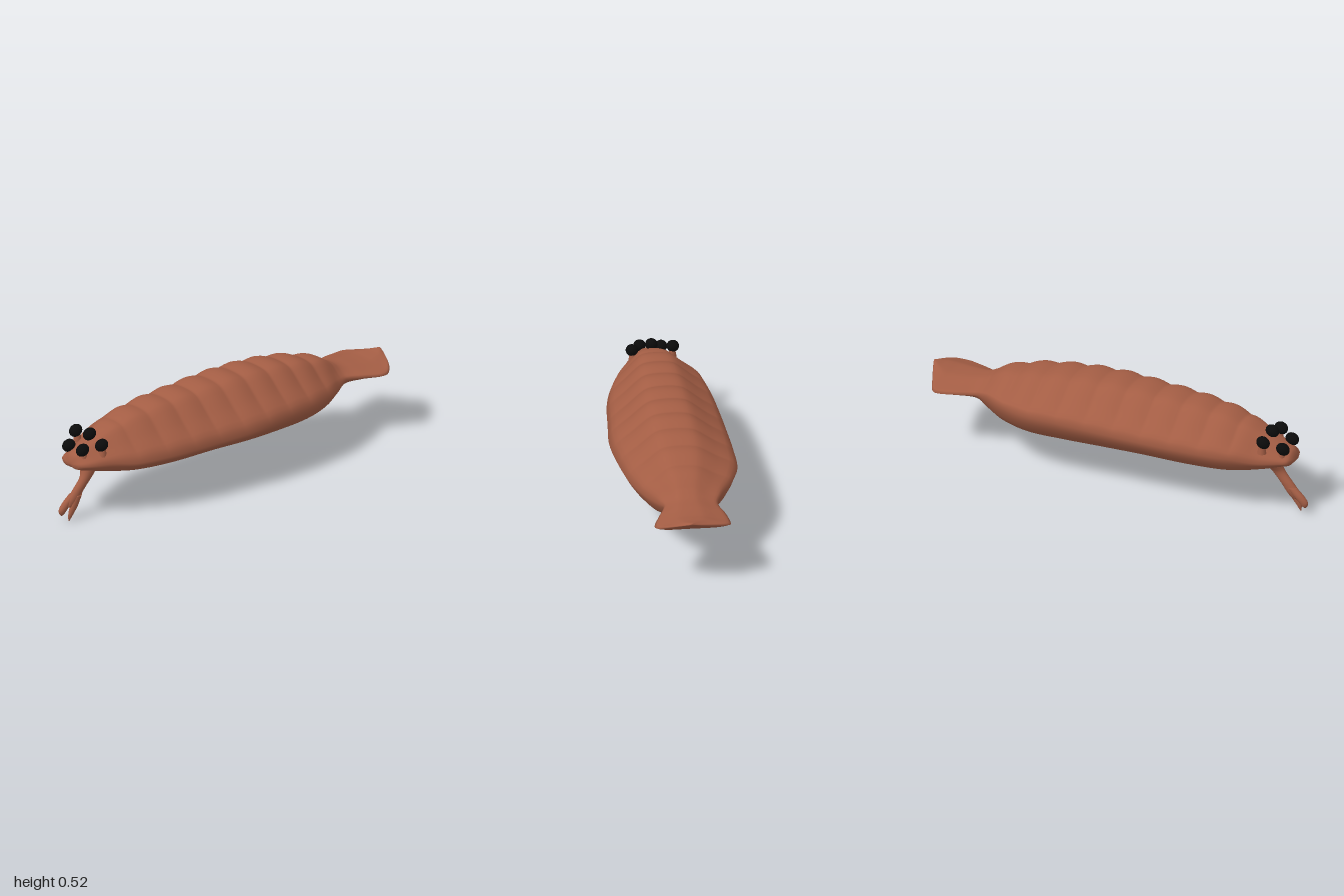
import * as THREE from 'three';

const skin = new THREE.MeshStandardMaterial({ color: 0xa35d44 });
skin.name = 'brownSkin';
const black = new THREE.MeshStandardMaterial({ color: 0x0b0b0b });
black.name = 'eyeBlack';

// Smooth interpolation of a table whose rows start with the key (descending)
function sample(table, key) {
  let i = 0;
  while (i < table.length - 2 && key < table[i + 1][0]) i++;
  const a = table[i], b = table[i + 1];
  const p = table[Math.max(i - 1, 0)], n = table[Math.min(i + 2, table.length - 1)];
  const h = b[0] - a[0], t = (key - a[0]) / h, t2 = t * t, t3 = t2 * t;
  return a.map((v, k) => {
    const m0 = (b[k] - p[k]) / (b[0] - p[0]) * h;
    const m1 = (n[k] - a[k]) / (n[0] - a[0]) * h;
    return v * (2 * t3 - 3 * t2 + 1) + m0 * (t3 - 2 * t2 + t) + b[k] * (3 * t2 - 2 * t3) + m1 * (t3 - t2);
  });
}

// Skin a list of closed rings and cap both ends
function loft(rings) {
  const n = rings[0].length, pos = [], index = [];
  rings.forEach(r => r.forEach(p => pos.push(...p)));
  for (let i = 0; i < rings.length - 1; i++) {
    for (let j = 0; j < n; j++) {
      const a = i * n + j, b = i * n + (j + 1) % n;
      index.push(a, a + n, b, b, a + n, b + n);
    }
  }
  [0, rings.length - 1].forEach((ri, end) => {
    const c = pos.length / 3;
    pos.push(...[0, 1, 2].map(k => rings[ri].reduce((s, p) => s + p[k], 0) / n));
    for (let j = 0; j < n; j++) {
      const a = ri * n + j, b = ri * n + (j + 1) % n;
      if (end) index.push(c, b, a); else index.push(c, a, b);
    }
  });
  const g = new THREE.BufferGeometry();
  g.setAttribute('position', new THREE.Float32BufferAttribute(pos, 3));
  g.setIndex(index);
  g.computeVertexNormals();
  return g;
}

// Body stations: z, -x side, +x side, edge height, top, underside
const stations = [
  [0.935, -0.04, 0.03, 0.290, 0.305, 0.278],
  [0.925, -0.075, 0.06, 0.290, 0.328, 0.268],
  [0.89, -0.10, 0.09, 0.290, 0.350, 0.262],
  [0.80, -0.145, 0.13, 0.292, 0.395, 0.242],
  [0.65, -0.215, 0.20, 0.300, 0.455, 0.223],
  [0.45, -0.25, 0.25, 0.308, 0.488, 0.219],
  [0.20, -0.27, 0.275, 0.315, 0.503, 0.223],
  [0.00, -0.28, 0.29, 0.322, 0.511, 0.220],
  [-0.20, -0.288, 0.275, 0.328, 0.504, 0.215],
  [-0.40, -0.285, 0.24, 0.328, 0.480, 0.212],
  [-0.55, -0.235, 0.185, 0.328, 0.447, 0.222],
  [-0.65, -0.18, 0.13, 0.328, 0.412, 0.250],
  [-0.71, -0.157, 0.108, 0.325, 0.375, 0.284],
  [-0.80, -0.182, 0.14, 0.320, 0.363, 0.295],
  [-0.88, -0.197, 0.17, 0.314, 0.360, 0.297],
  [-0.92, -0.188, 0.163, 0.318, 0.364, 0.308],
  [-0.955, -0.115, 0.125, 0.338, 0.369, 0.330],
  [-0.985, -0.045, 0.06, 0.358, 0.376, 0.355],
  [-1.0, -0.008, 0.015, 0.370, 0.378, 0.368]
];

// Cross-section: half-width fraction against height fraction
const dome = [[1, 0], [0.95, 0.17], [0.85, 0.31], [0.67, 0.52], [0.5, 0.74], [0.33, 0.93], [0.15, 0.99], [0, 1]];
const belly = [[1, 0], [0.95, 0.27], [0.85, 0.62], [0.7, 0.94], [0.5, 1], [0, 0.95]];

function bodyGeometry() {
  const rings = [], half = 28;
  for (let i = 0; i <= 240; i++) {
    const z = 0.935 - 1.935 * i / 240;
    const [, xl, xr, edge, top, under] = sample(stations, z);
    // Overlapping back plates
    const fade = THREE.MathUtils.smoothstep(0.8 - z, 0, 0.15) * THREE.MathUtils.smoothstep(z, -0.74, -0.62);
    const plate = fade * (Math.abs(Math.sin(Math.PI * (z - 0.07) / 0.1475)) - 0.6) * 0.014;
    const ring = [];
    for (let j = 0; j < half * 2; j++) {
      const lower = j >= half;
      const a = 1 - 2 * (j % half) / half, side = lower ? -a : a;
      const [u, v] = sample(lower ? belly : dome, Math.abs(side));
      const w = side > 0 ? xr : -xl;
      const level = edge - 0.018 * side * fade;
      const lift = v * ((lower ? under : top) - level);
      const bump = lower ? 0 : plate * Math.min(1, v * 1.6);
      ring.push([Math.sign(side) * u * w, level + lift + bump, z]);
    }
    rings.push(ring);
  }
  return loft(rings);
}

// Limb through horizontal ovals: y, x, z, x radius, z radius
function limb(rows) {
  const rings = [], steps = 28, y0 = rows[0][0], y1 = rows[rows.length - 1][0];
  for (let i = 0; i <= steps; i++) {
    const [y, x, z, rx, rz] = sample(rows, y0 + (y1 - y0) * i / steps);
    rings.push(Array.from({ length: 18 }, (_, j) => {
      const a = j / 18 * Math.PI * 2;
      return [x + rx * Math.cos(a), y, z - rz * Math.sin(a)];
    }));
  }
  return loft(rings);
}

export function createModel() {
  const group = new THREE.Group();
  const add = (name, geometry, material) => {
    const mesh = new THREE.Mesh(geometry, material);
    mesh.name = name;
    group.add(mesh);
    return mesh;
  };

  add('bodyAndTail', bodyGeometry(), skin);

  // Feeding arm and its two-part claw
  add('feedingArm', limb([
    [0.28, -0.01, 0.80, 0.06, 0.05], [0.245, -0.008, 0.813, 0.045, 0.044], [0.20, 0.002, 0.838, 0.025, 0.035],
    [0.14, 0.001, 0.888, 0.021, 0.034], [0.10, 0.001, 0.918, 0.02, 0.036], [0.07, 0.003, 0.935, 0.014, 0.03]
  ]), skin);
  add('frontClaw', limb([
    [0.125, -0.004, 0.912, 0.018, 0.024], [0.09, -0.006, 0.948, 0.018, 0.029],
    [0.06, -0.006, 0.974, 0.016, 0.025], [0.04, -0.006, 0.982, 0.011, 0.014], [0.03, -0.006, 0.983, 0.003, 0.004]
  ]), skin);
  add('rearClaw', limb([
    [0.12, 0.009, 0.896, 0.015, 0.024], [0.07, 0.012, 0.922, 0.013, 0.023],
    [0.03, 0.013, 0.943, 0.009, 0.014], [0, 0.012, 0.953, 0.002, 0.003]
  ]), skin);

  // Five eyes on short stalks
  [[-0.11, 0.395, 0.81], [-0.006, 0.41, 0.81], [0.088, 0.382, 0.812],
    [-0.062, 0.355, 0.893], [0.042, 0.363, 0.893]].forEach(([x, y, z]) => {
    const eye = add('eye', new THREE.SphereGeometry(0.031, 24, 16), black);
    eye.position.set(x, y, z);
    eye.scale.set(0.97, 0.93, 1.12);
    eye.rotation.x = 0.5;
    const stalk = add('eyeStalk', new THREE.CylinderGeometry(0.014, 0.022, 0.05, 14), skin);
    stalk.position.set(x * 0.97, y - 0.036, z - 0.008);
  });

  return group;
}
